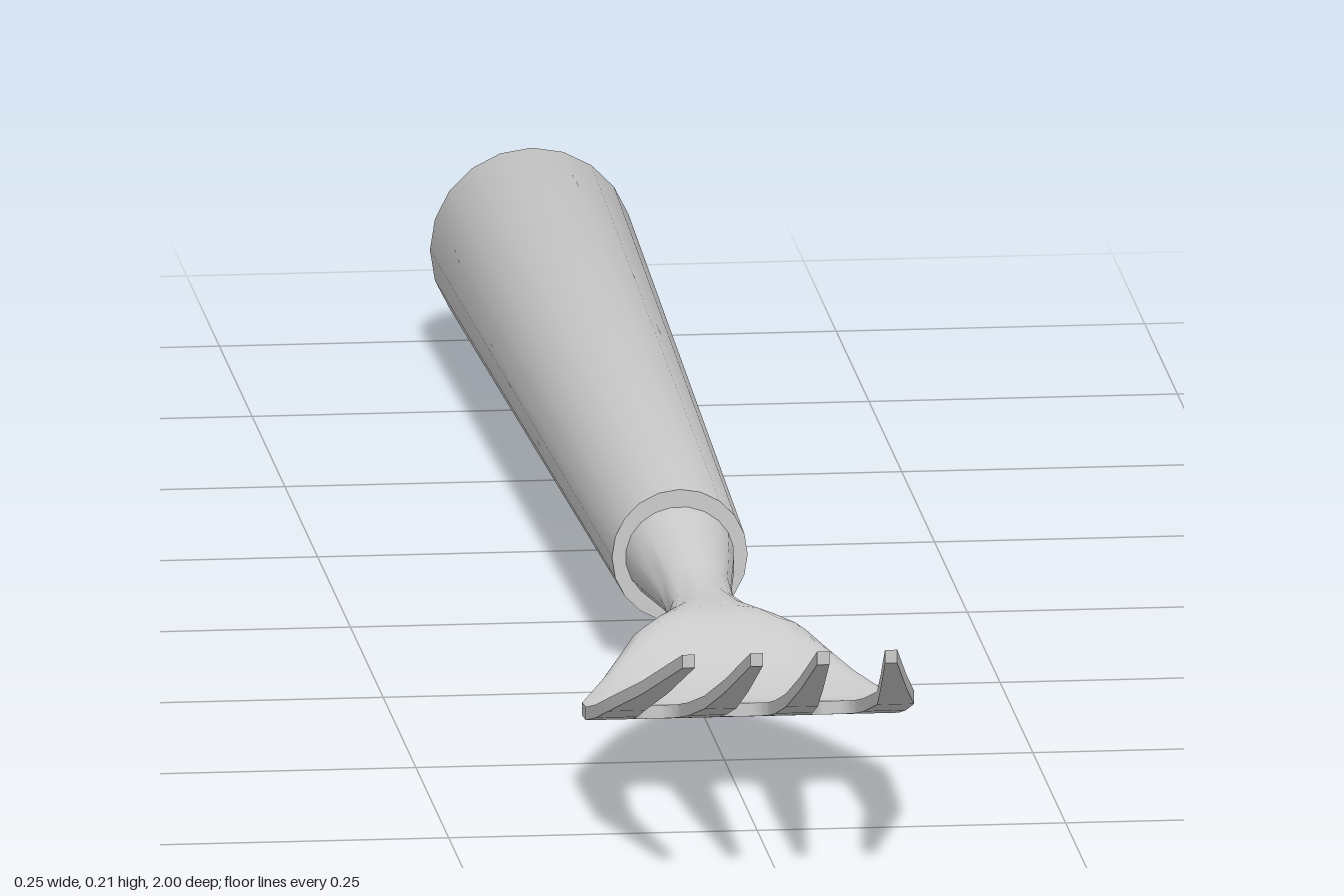
import * as THREE from 'three';
import { toCreasedNormals } from 'three/addons/utils/BufferGeometryUtils.js';

const material = new THREE.MeshStandardMaterial({ color: 0xcccccc });

// Skin a series of closed rings (counter-clockwise seen from +z, running towards +z)
function loft(rings, crease) {
  const n = rings[0].length, index = [];
  for (let r = 0; r < rings.length - 1; r++) {
    for (let i = 0; i < n; i++) {
      const j = (i + 1) % n, a = r * n, b = a + n;
      index.push(a + i, a + j, b + j, a + i, b + j, b + i);
    }
  }
  const last = (rings.length - 1) * n;
  for (let i = 1; i < n - 1; i++) {
    index.push(0, i + 1, i, last, last + i, last + i + 1);
  }
  const g = new THREE.BufferGeometry();
  g.setAttribute('position', new THREE.Float32BufferAttribute(rings.flat(2), 3));
  g.setIndex(index);
  return toCreasedNormals(g, crease);
}

// Rounded section: power 1 is an ellipse, towards 0 it becomes a rectangle
function section([z, halfWidth, bottom, top, power]) {
  const ring = [], bend = v => Math.sign(v) * Math.pow(Math.abs(v), power);
  for (let i = 0; i < 20; i++) {
    const a = (i + 0.5) / 20 * Math.PI * 2;
    ring.push([
      halfWidth * bend(Math.cos(a)),
      (bottom + top) / 2 + (top - bottom) / 2 * bend(Math.sin(a)),
      z,
    ]);
  }
  return ring;
}

// Linear lookup in rows of [z, value, ...]
function lookup(rows, z, column) {
  let k = 0;
  while (k < rows.length - 2 && z > rows[k + 1][0]) k++;
  const a = rows[k], b = rows[k + 1];
  return THREE.MathUtils.lerp(a[column], b[column], (z - a[0]) / (b[0] - a[0]));
}

export function createModel() {
  const group = new THREE.Group();
  const add = (name, geometry) => {
    const mesh = new THREE.Mesh(geometry, material);
    mesh.name = name;
    group.add(mesh);
  };

  // Tapered round handle with a bevelled butt, its axis sloping slightly
  const profile = [[0, -1], [0.06, -1], [0.074, -0.989], [0.0825, -0.97], [0.055, 0.16], [0, 0.16]]
    .map(p => new THREE.Vector2(...p));
  const handle = new THREE.LatheGeometry(profile, 20);
  handle.rotateX(Math.PI / 2);
  const pos = handle.attributes.position;
  for (let i = 0; i < pos.count; i++) {
    pos.setY(i, pos.getY(i) + 0.09 - 0.0077 * (0.16 - pos.getZ(i)) / 1.16);
  }
  add('handle', toCreasedNormals(handle, 1));

  // Neck flowing into the flat head: z, half width, bottom, top, squareness
  const stations = [
    [0.14, 0.046, 0.047, 0.133, 1],
    [0.2, 0.04, 0.054, 0.126, 1],
    [0.28, 0.029, 0.063, 0.112, 0.95],
    [0.34, 0.027, 0.064, 0.107, 0.9],
    [0.4, 0.038, 0.058, 0.111, 0.8],
    [0.44, 0.058, 0.047, 0.114, 0.7],
    [0.47, 0.075, 0.041, 0.112, 0.6],
    [0.5, 0.089, 0.038, 0.1, 0.5],
    [0.54, 0.105, 0.045, 0.086, 0.35],
    [0.6, 0.126, 0.062, 0.075, 0.1],
    [0.637, 0.127, 0.068, 0.079, 0.02],
  ];
  add('neckAndHead', loft(stations.map(section), 0.8));

  // Edges of the inner and outer tine on the +x side: z, x from, x to
  const heights = [[0.635, 0.073], [0.7, 0.09], [0.78, 0.114], [0.88, 0.151], [1, 0.2]];
  const inner = [[0.635, 0.02, 0.054], [0.78, 0.02, 0.046], [1, 0.022, 0.032]];
  const outer = [[0.635, 0.09, 0.127], [0.78, 0.094, 0.124], [1, 0.077, 0.087]];
  const zs = [0.635, 0.637, 0.642, 0.648, 0.655, 0.7, 0.78, 0.88, 1];

  // Close the gaps at the root with a rounded end
  function rootBlend(z) {
    const d = THREE.MathUtils.clamp((0.655 - z) / 0.02, 0, 1);
    return 1 - Math.sqrt(1 - d * d);
  }
  function tine(rows, gapFrom, gapTo, side) {
    const rings = zs.map(z => {
      const t = rootBlend(z), y = lookup(heights, z, 1), h = 0.0055;
      const x0 = THREE.MathUtils.lerp(lookup(rows, z, 1), gapFrom, t);
      const x1 = THREE.MathUtils.lerp(lookup(rows, z, 2), gapTo, t);
      const [l, r] = side > 0 ? [x0, x1] : [-x1, -x0];
      return [[l, y - h, z], [r, y - h, z], [r, y + h, z], [l, y + h, z]];
    });
    return loft(rings, 0.6);
  }
  for (const [side, word] of [[1, 'left'], [-1, 'right']]) {
    add(word + 'InnerTine', tine(inner, 0, 0.072, side));
    add(word + 'OuterTine', tine(outer, 0.072, 0.127, side));
  }
  return group;
}
